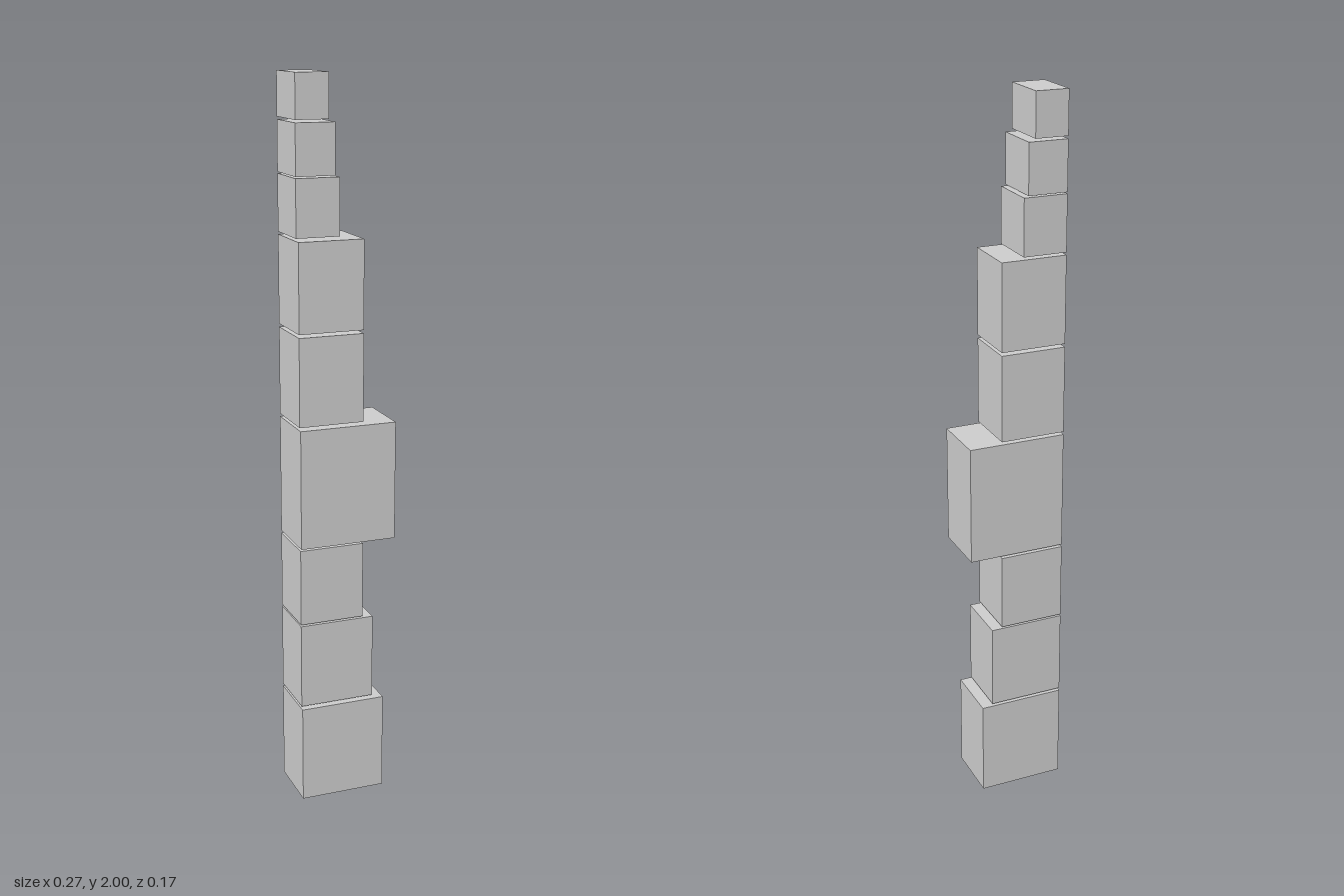
import * as THREE from 'three';

// Stack of boxes sharing a flush left-hand side and back: [name, bottom, top, right x, front z]
const LEFT = -0.136, BACK = -0.084;
const BLOCKS = [
  ['baseBlock', 0, 0.276, 0.105, 0.084],
  ['lowerBlock', 0.284, 0.524, 0.075, 0.077],
  ['neckBlock', 0.529, 0.744, 0.045, 0.077],
  ['wideBlock', 0.751, 1.082, 0.136, 0.084],
  ['middleBlock', 1.09, 1.331, 0.045, 0.077],
  ['upperBlock', 1.34, 1.58, 0.045, 0.077],
  ['smallBlockLower', 1.587, 1.739, -0.016, 0.059],
  ['smallBlockMiddle', 1.743, 1.877, -0.028, 0.059],
  ['topBlock', 1.884, 2, -0.046, 0.059],
];

export function createModel() {
  const model = new THREE.Group();
  model.name = 'blockTower';
  const material = new THREE.MeshStandardMaterial({ color: 0xcccccc });
  for (const [name, bottom, top, right, front] of BLOCKS) {
    const block = new THREE.Mesh(
      new THREE.BoxGeometry(right - LEFT, top - bottom, front - BACK), material);
    block.position.set((LEFT + right) / 2, (bottom + top) / 2, (BACK + front) / 2);
    block.name = name;
    model.add(block);
  }
  return model;
}
